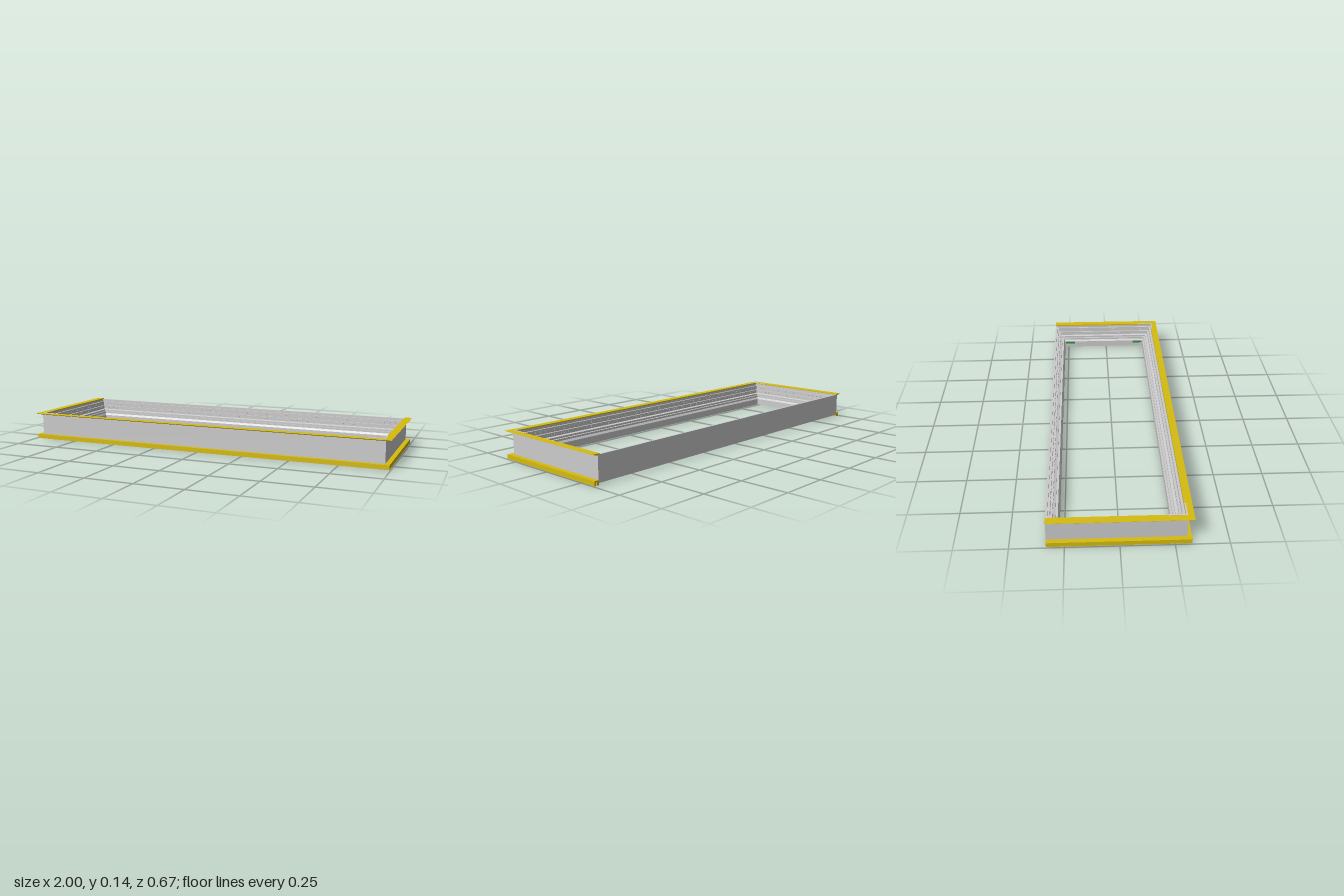
import * as THREE from 'three';
import { mergeGeometries } from 'three/addons/utils/BufferGeometryUtils.js';

// Outer faces of the wall: half width, back and front
const X = 0.97, B = -0.333, F = 0.307;

const grey = new THREE.MeshStandardMaterial({ color: 0xcccccc, flatShading: true, side: THREE.DoubleSide });
const yellow = new THREE.MeshStandardMaterial({ color: 0xd6bb10, flatShading: true, side: THREE.DoubleSide });
const green = new THREE.MeshStandardMaterial({ color: 0x2f8f3f });

// The front rail is slightly deeper than the others
const frontZ = d => F - d * (d < 0 ? 0.88 : 1.1);

// Mitred sweep of a profile of [inset, height] around all four sides, or only three (open at the back)
function sweep(profile, closed) {
  const ring = ([d, y]) => {
    const x = X - d, zb = closed ? B + d : B, zf = frontZ(d);
    return [[x, y, zb], [x, y, zf], [-x, y, zf], [-x, y, zb]];
  };
  const rings = profile.map(ring), pos = [], n = profile.length;
  const tri = (a, b, c) => pos.push(...a, ...b, ...c);
  for (let i = 0; i < (closed ? 4 : 3); i++) {
    const k = (i + 1) % 4;
    for (let j = 0; j < n; j++) {
      const p = rings[j], q = rings[(j + 1) % n];
      tri(p[i], p[k], q[k]);
      tri(p[i], q[k], q[i]);
    }
  }
  if (!closed) {
    // end caps
    const flat = profile.map(p => new THREE.Vector2(...p));
    for (const [a, b, c] of THREE.ShapeUtils.triangulateShape(flat, [])) {
      tri(rings[a][0], rings[b][0], rings[c][0]);
      tri(rings[c][3], rings[b][3], rings[a][3]);
    }
  }
  const g = new THREE.BufferGeometry();
  g.setAttribute('position', new THREE.Float32BufferAttribute(pos, 3));
  g.computeVertexNormals();
  return g;
}

function box(w, h, d, x, y, z) {
  return new THREE.BoxGeometry(w, h, d).translate(x, y, z);
}

// Row of small studs around the inner faces at a given inset and height
function studRow(d, y) {
  const parts = [], s = 0.006, t = 0.003, step = 0.03;
  const x = X - d, zb = B + d, zf = frontZ(d);
  for (let px = -x + step; px < x - step / 2; px += step) {
    parts.push(box(s * 2, s, t, px, y, zb), box(s * 2, s, t, px, y, zf));
  }
  for (let pz = zb + step; pz < zf - step / 2; pz += step) {
    parts.push(box(t, s, s * 2, x, y, pz), box(t, s, s * 2, -x, y, pz));
  }
  return parts;
}

export function createModel() {
  const group = new THREE.Group();
  const add = (name, geometry, material) => {
    const mesh = new THREE.Mesh(geometry, material);
    mesh.name = name;
    group.add(mesh);
  };

  // Stepped main frame with grooved underside and inner lip
  add('mainFrame', sweep([
    [0, 0.138], [0, 0.01], [0.012, 0.01], [0.012, 0.02], [0.028, 0.02], [0.028, 0.008],
    [0.06, 0.008], [0.06, 0.045], [0.053, 0.056], [0.053, 0.066], [0.042, 0.066],
    [0.042, 0.076], [0.03, 0.08], [0.03, 0.1], [0.02, 0.1], [0.02, 0.125],
    [0.01, 0.125], [0.01, 0.138],
  ], true), grey);

  // Wedge-shaped top trim on the front and both sides
  add('topTrim', sweep([
    [-0.03, 0.143], [-0.03, 0.142], [0, 0.134], [0.01, 0.134], [0.01, 0.143],
  ], false), yellow);

  // Channel-shaped bottom trim, open downwards
  add('bottomTrim', sweep([
    [-0.024, 0.023], [-0.024, 0], [-0.014, 0], [-0.014, 0.017], [-0.009, 0.017],
    [-0.009, 0], [0.002, 0], [0.002, 0.023],
  ], false), yellow);

  // Rows of studs on the inner steps
  add('innerStuds', mergeGeometries([...studRow(0.02, 0.112), ...studRow(0.03, 0.09)]), grey);

  // L-shaped brackets in the front corners
  for (const s of [1, -1]) {
    add(s > 0 ? 'leftCornerBracket' : 'rightCornerBracket', mergeGeometries([
      box(0.08, 0.003, 0.008, s * 0.925, 0.1425, 0.3),
      box(0.008, 0.003, 0.08, s * 0.961, 0.1425, 0.256),
    ]), grey);
  }

  // Small clips on the left inner lip
  add('lipClips', mergeGeometries([
    box(0.004, 0.012, 0.06, X - 0.061, 0.038, -0.24),
    box(0.004, 0.012, 0.06, X - 0.061, 0.038, 0.205),
  ]), green);

  return group;
}
